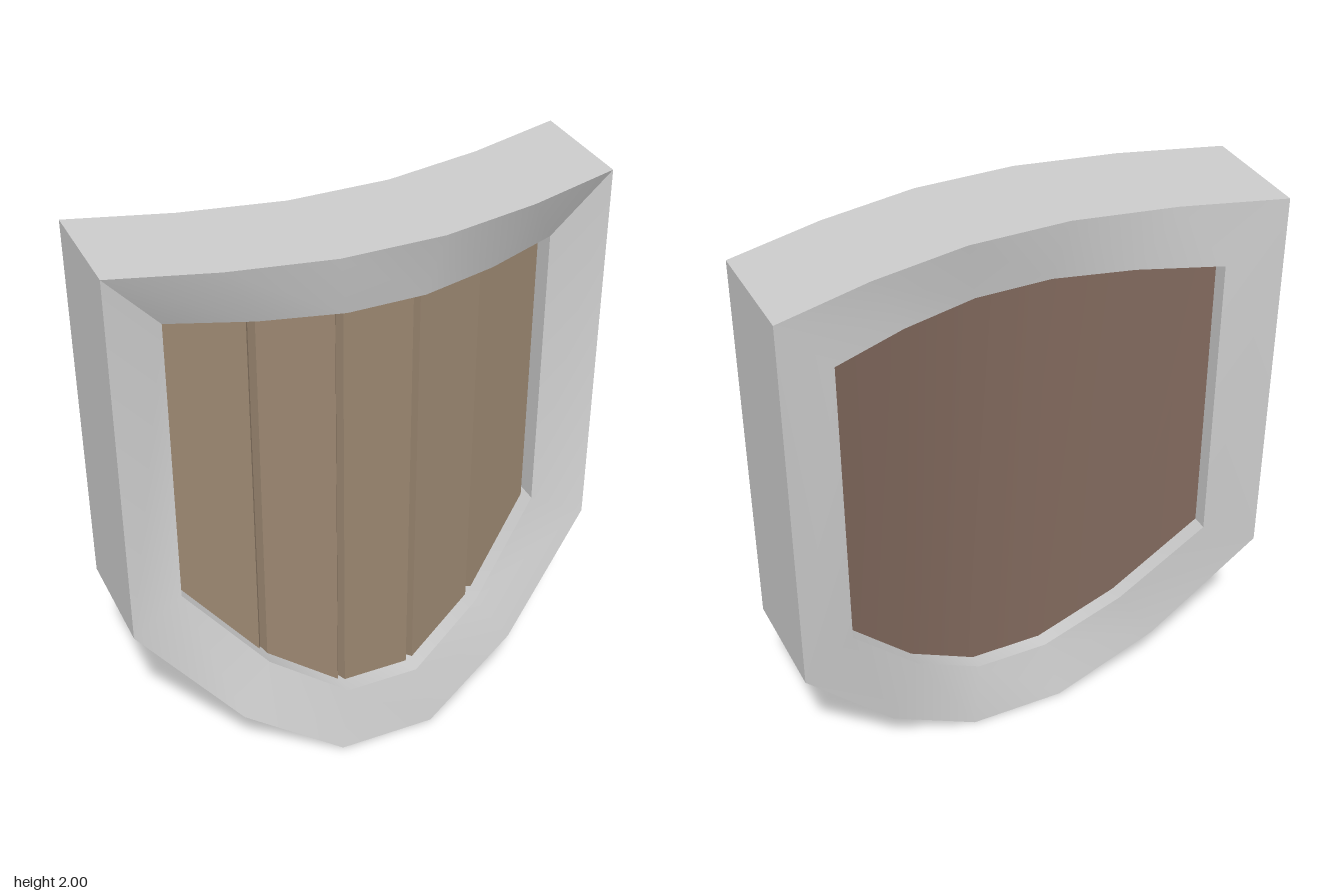
import * as THREE from 'three';
import { toCreasedNormals } from 'three/addons/utils/BufferGeometryUtils.js';

// Columns across the shield; the whole body bows back towards its sides
const outerX = [-0.86, -0.52, -0.175, 0.175, 0.52, 0.86];
const outerBottom = [0.63, 0.228, 0, 0, 0.228, 0.63];
const innerX = [-0.67, -0.402, -0.134, 0.134, 0.402, 0.67];
const innerBottom = [0.715, 0.405, 0.225, 0.225, 0.405, 0.715];
const bow = [0.172, 0.067, 0, 0, 0.067, 0.172];
const OUTER_TOP = 2, INNER_TOP = 1.78;
const FRONT = 0.289, BACK = -0.118, BEVEL = 0.045;

// Linear lookup along the inner columns
function along(values, x) {
  let i = 0;
  while (i < 4 && x > innerX[i + 1]) i++;
  const t = (x - innerX[i]) / (innerX[i + 1] - innerX[i]);
  return values[i] + (values[i + 1] - values[i]) * t;
}

function quadMesh(name, quads, color) {
  const pos = quads.flatMap(([a, b, c, d]) => [a, b, c, a, c, d].flat());
  const geo = new THREE.BufferGeometry();
  geo.setAttribute('position', new THREE.Float32BufferAttribute(pos, 3));
  const mesh = new THREE.Mesh(toCreasedNormals(geo, 0.6), new THREE.MeshStandardMaterial({ color }));
  mesh.name = name;
  return mesh;
}

// Frame: a four-cornered section swept around the outline
function makeFrame() {
  const section = (i, top) => {
    const yo = top ? OUTER_TOP : outerBottom[i];
    const yi = top ? INNER_TOP : innerBottom[i];
    return [
      [outerX[i], yo, FRONT - bow[i]],
      [outerX[i], yo, BACK - bow[i]],
      [innerX[i], yi, BACK + BEVEL - bow[i]],
      [innerX[i], yi, FRONT - BEVEL - bow[i]],
    ];
  };
  const ring = [];
  for (let i = 5; i >= 0; i--) ring.push(section(i, true));
  for (let i = 0; i < 6; i++) ring.push(section(i, false));
  const quads = [];
  ring.forEach((a, i) => {
    const b = ring[(i + 1) % ring.length];
    for (let s = 0; s < 4; s++) {
      const n = (s + 1) % 4;
      quads.push([a[s], a[n], b[n], b[s]]);
    }
  });
  return quadMesh('frame', quads, 0xcccccc);
}

// Vertical strips filling the frame opening along a list of [x, z] points
function stripQuads(profile, facingFront) {
  const quads = [];
  for (let i = 0; i + 1 < profile.length; i++) {
    const [x0, z0] = profile[i], [x1, z1] = profile[i + 1];
    const q = [
      [x0, along(innerBottom, x0), z0], [x1, along(innerBottom, x1), z1],
      [x1, INNER_TOP, z1], [x0, INNER_TOP, z0],
    ];
    quads.push(facingFront ? q : q.reverse());
  }
  return quads;
}

export function createModel() {
  const group = new THREE.Group();
  group.name = 'shield';
  group.add(makeFrame());

  // Planks: five boards separated by V grooves
  const face = 0.185, grooveDepth = 0.03, grooveHalf = 0.013;
  const front = [];
  innerX.forEach((x, i) => {
    if (i > 0) front.push([x - grooveHalf, face - along(bow, x - grooveHalf)]);
    front.push([x, face - grooveDepth - bow[i]]);
    if (i < 5) front.push([x + grooveHalf, face - along(bow, x + grooveHalf)]);
  });
  group.add(quadMesh('planks', stripQuads(front, true), 0x9a8670));

  // Smooth backing behind the planks
  const back = innerX.map((x, i) => [x, -0.018 - bow[i]]);
  group.add(quadMesh('backPanel', stripQuads(back, false), 0x80685c));
  return group;
}
